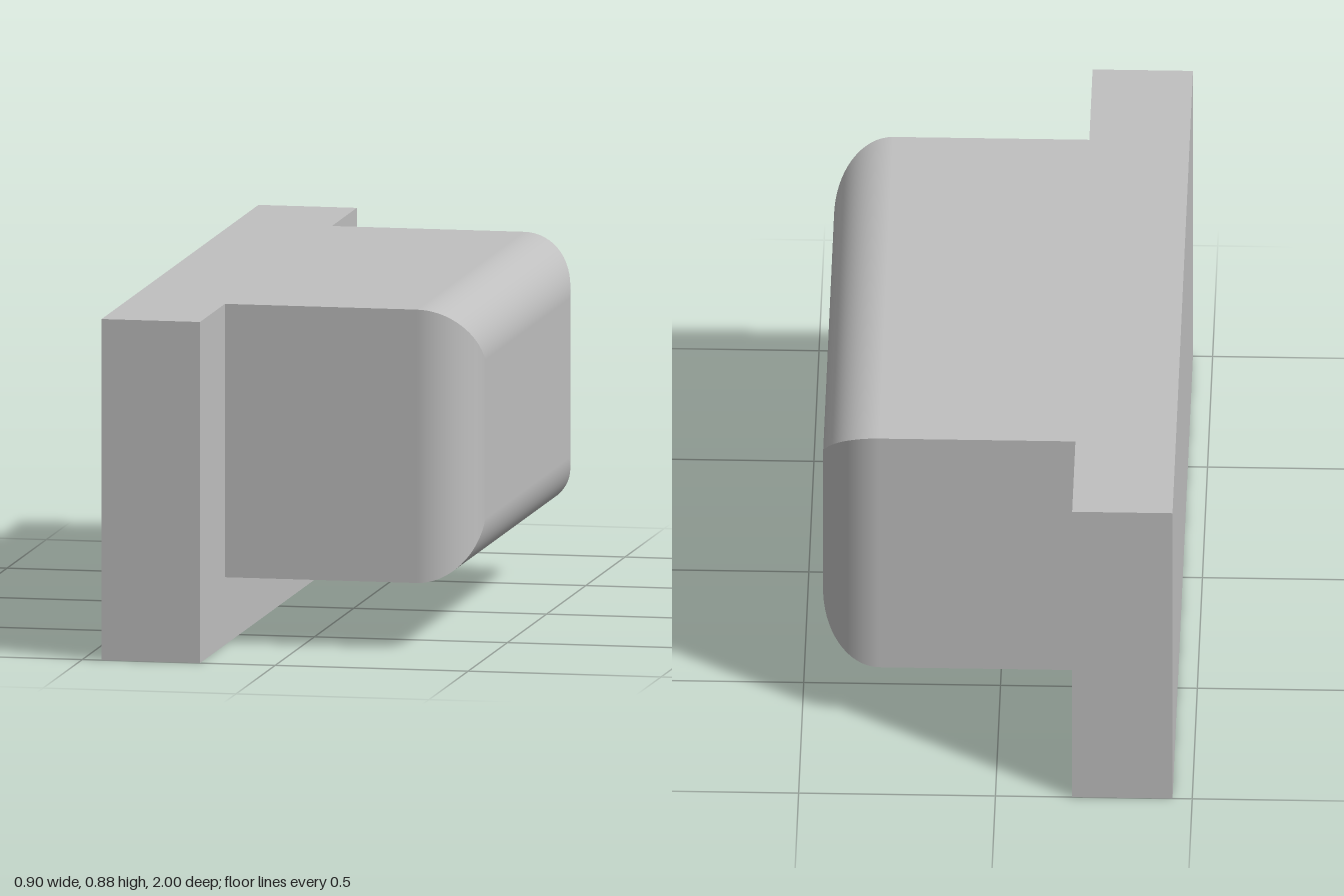
import * as THREE from 'three';

// Block with mitred, rounded front edges: rectangular rings swept along +x
function roundedBlock(x0, x1, hy, hz, radius, steps) {
  const pos = [], nor = [], idx = [];
  const corners = [[1, 1], [1, -1], [-1, -1], [-1, 1]];
  const outward = [[1, 0], [0, -1], [-1, 0], [0, 1]];
  const rings = [{ x: x0, inset: 0, a: 0 }];
  for (let i = 0; i <= steps; i++) {
    const a = (i / steps) * Math.PI / 2;
    rings.push({ x: x1 - radius + radius * Math.sin(a), inset: radius * (1 - Math.cos(a)), a });
  }
  const add = (x, inset, [sy, sz]) => pos.push(x, sy * (hy - inset), sz * (hz - inset));

  // Four sides, each with its own smooth normals so the mitres stay sharp
  for (let k = 0; k < 4; k++) {
    const base = pos.length / 3;
    const [ny, nz] = outward[k];
    rings.forEach(({ x, inset, a }, r) => {
      for (const c of [corners[k], corners[(k + 1) % 4]]) {
        add(x, inset, c);
        nor.push(Math.sin(a), ny * Math.cos(a), nz * Math.cos(a));
      }
      if (r > 0) {
        const p = base + 2 * (r - 1);
        idx.push(p, p + 2, p + 3, p, p + 3, p + 1);
      }
    });
  }

  // Flat face at the end
  const c = pos.length / 3;
  for (const corner of corners) {
    add(x1, radius, corner);
    nor.push(1, 0, 0);
  }
  idx.push(c, c + 2, c + 1, c, c + 3, c + 2);

  const geo = new THREE.BufferGeometry();
  geo.setAttribute('position', new THREE.Float32BufferAttribute(pos, 3));
  geo.setAttribute('normal', new THREE.Float32BufferAttribute(nor, 3));
  geo.setIndex(idx);
  return geo;
}

export function createModel() {
  const group = new THREE.Group();
  const grey = new THREE.MeshStandardMaterial({ name: 'grey', color: 0xc0c0c0 });

  // Wide upright plate
  const plate = new THREE.Mesh(new THREE.BoxGeometry(0.255, 0.876, 2), grey);
  plate.name = 'backPlate';
  plate.position.set(-0.3225, 0.438, 0);
  group.add(plate);

  // Projecting block, flush with the top of the plate
  const block = new THREE.Mesh(roundedBlock(-0.195, 0.45, 0.351, 0.682, 0.147, 16), grey);
  block.name = 'roundedBlock';
  block.position.y = 0.525;
  group.add(block);

  return group;
}
